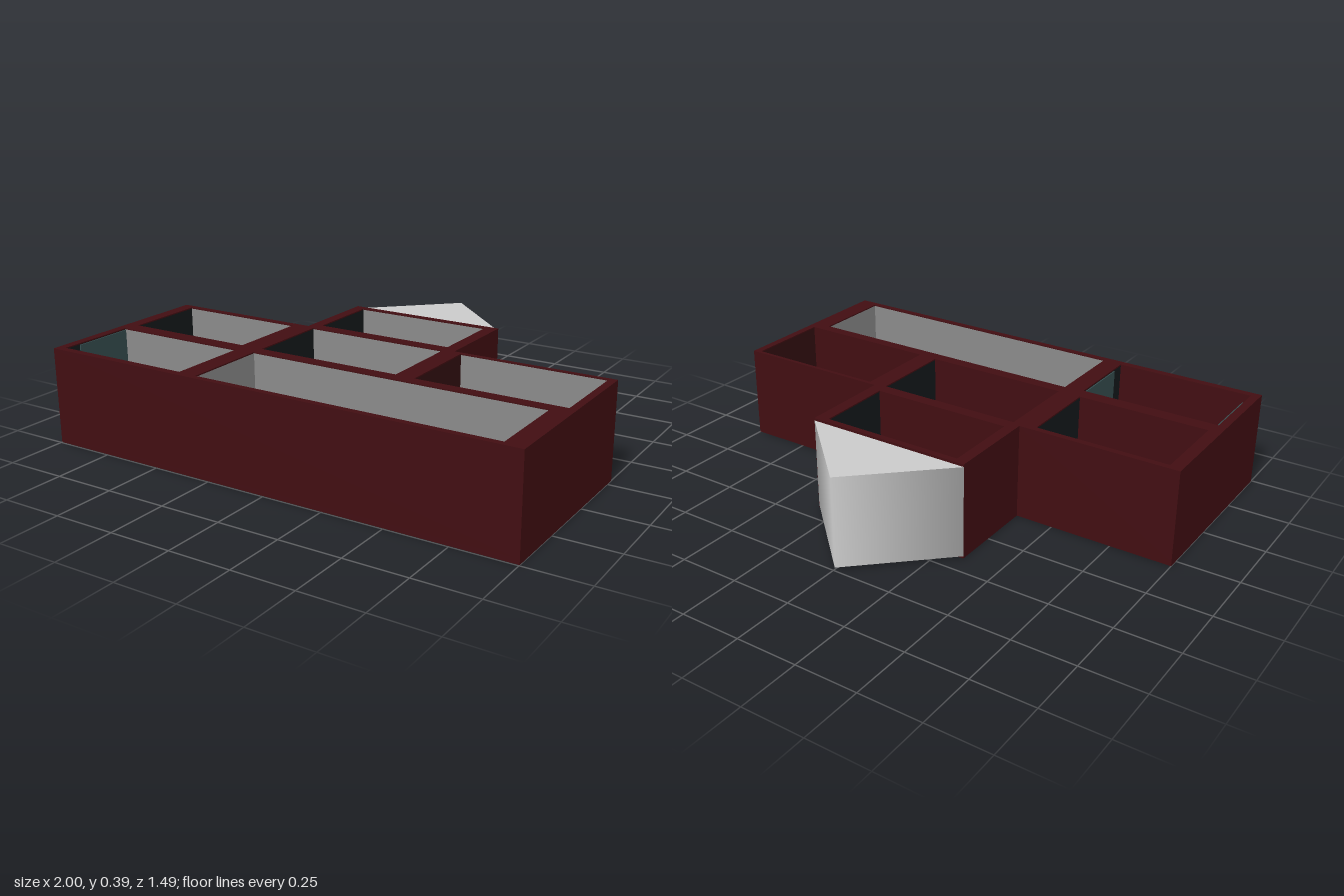
import * as THREE from 'three';

const mat = (color) => new THREE.MeshStandardMaterial({ color });
const RED = mat(0x420e12), DARK = mat(0x14191b), TEAL = mat(0x364e50);
const GREY = mat(0x8a8a8a), LIGHT = mat(0xcccccc), MAROON = mat(0x330f11);
const TOP = 0.39, FLOOR = 0.02, GAP = 0.002;

// Rooms: bounds, floor, side wall, front wall materials (back walls are grey)
const ROOMS = [
  { name: 'longRoom', x: [-0.31, 0.92], z: [0.375, 0.72], floor: GREY, side: GREY, front: GREY },
  { name: 'frontLeftRoom', x: [-0.965, -0.39], z: [0.385, 0.715], floor: DARK, side: DARK, front: RED },
  { name: 'middleLeftRoom', x: [-0.95, -0.405], z: [-0.015, 0.325], floor: DARK, side: DARK, front: RED },
  { name: 'centreRoom', x: [-0.31, 0.295], z: [-0.025, 0.325], floor: DARK, side: DARK, front: RED },
  { name: 'middleRightRoom', x: [0.375, 0.97], z: [-0.025, 0.33], floor: MAROON, side: MAROON, front: RED },
  { name: 'backRoom', x: [-0.3, 0.29], z: [-0.395, -0.075], floor: DARK, side: DARK, front: RED },
];

const rectPoints = ([x0, x1], [z0, z1]) =>
  [[x0, z0], [x1, z0], [x1, z1], [x0, z1]].map(([x, z]) => new THREE.Vector2(x, z));

// Extrudes an x-z plan between two heights
function slab(name, shape, y0, y1, material) {
  const g = new THREE.ExtrudeGeometry(shape, { depth: y1 - y0, bevelEnabled: false });
  g.rotateX(Math.PI / 2).translate(0, y1, 0);
  const m = new THREE.Mesh(g, material);
  m.name = name;
  return m;
}

const plan = (pts) => new THREE.Shape(pts.map(([x, z]) => new THREE.Vector2(x, z)));
const block = (name, x, z, y0, y1, material) =>
  slab(name, new THREE.Shape(rectPoints(x, z)), y0, y1, material);

// Thin inner surfaces of a room
function lining({ name, x: [x0, x1], z: [z0, z1], floor, side, front }) {
  const group = new THREE.Group();
  group.name = name;
  const w = x1 - x0, d = z1 - z0, h = TOP - FLOOR - 0.004;
  const cx = (x0 + x1) / 2, cz = (z0 + z1) / 2, cy = FLOOR + h / 2;
  const panel = (part, width, height, rx, ry, pos, material) => {
    const m = new THREE.Mesh(new THREE.PlaneGeometry(width, height), material);
    m.name = part;
    m.rotation.set(rx, ry, 0);
    m.position.set(...pos);
    group.add(m);
  };
  panel('floor', w, d, -Math.PI / 2, 0, [cx, FLOOR + GAP, cz], floor);
  panel('backWall', w, h, 0, 0, [cx, cy, z0 + GAP], GREY);
  panel('frontWall', w, h, 0, Math.PI, [cx, cy, z1 - GAP], front);
  panel('rightWall', d, h, 0, Math.PI / 2, [x0 + GAP, cy, cz], side);
  panel('leftWall', d, h, 0, -Math.PI / 2, [x1 - GAP, cy, cz], side);
  return group;
}

export function createModel() {
  const model = new THREE.Group();
  model.name = 'floorPlan';

  // T-shaped walls with a hole for each room, on a solid base
  const outline = [[-1, -0.04], [-0.345, -0.04], [-0.345, -0.42], [0.34, -0.42],
    [0.34, -0.04], [1, -0.04], [1, 0.745], [-1, 0.745]];
  const walls = plan(outline);
  for (const r of ROOMS) walls.holes.push(new THREE.Path(rectPoints(r.x, r.z)));
  model.add(slab('walls', walls, FLOOR, TOP, RED));
  model.add(slab('base', plan(outline), 0, FLOOR, RED));
  for (const r of ROOMS) model.add(lining(r));

  // Teal lining along the back part of the front left room
  const tz = [0.39, 0.645];
  model.add(block('tealFloor', [-0.962, -0.393], tz, FLOOR, 0.03, TEAL));
  model.add(block('tealRightWall', [-0.962, -0.957], tz, 0.03, 0.385, TEAL));
  model.add(block('tealLeftWall', [-0.398, -0.393], tz, 0.03, 0.385, TEAL));

  // Centre room: counter with a chamfered unit and inset panel
  model.add(block('counter', [-0.305, 0.29], [0.23, 0.322], FLOOR, 0.08, LIGHT));
  const unit = plan([[-0.125, 0.23], [0.125, 0.23], [0.125, 0.322], [-0.12, 0.322],
    [-0.145, 0.305], [-0.145, 0.245]]);
  model.add(slab('unit', unit, FLOOR, 0.11, DARK));
  model.add(block('unitPanel', [-0.088, 0.07], [0.242, 0.315], 0.11, 0.12, TEAL));

  // Back room: table and a low platform behind it
  model.add(block('table', [-0.08, 0.07], [-0.34, -0.13], FLOOR, 0.1, LIGHT));
  const platform = plan([[-0.296, -0.08], [-0.08, -0.13], [0.07, -0.13], [0.286, -0.08]]);
  model.add(slab('platform', platform, FLOOR, 0.05, RED));

  // Three-sided porch with its point to the back
  const porch = new THREE.Mesh(new THREE.CylinderGeometry(1, 1, 0.37, 3), LIGHT);
  porch.name = 'porch';
  porch.rotation.y = Math.PI;
  porch.scale.set(0.685 / Math.sqrt(3), 1, 0.325 / 1.5);
  porch.position.set(-0.003, 0.195, -0.42 - 0.325 / 3);
  model.add(porch);

  return model;
}
